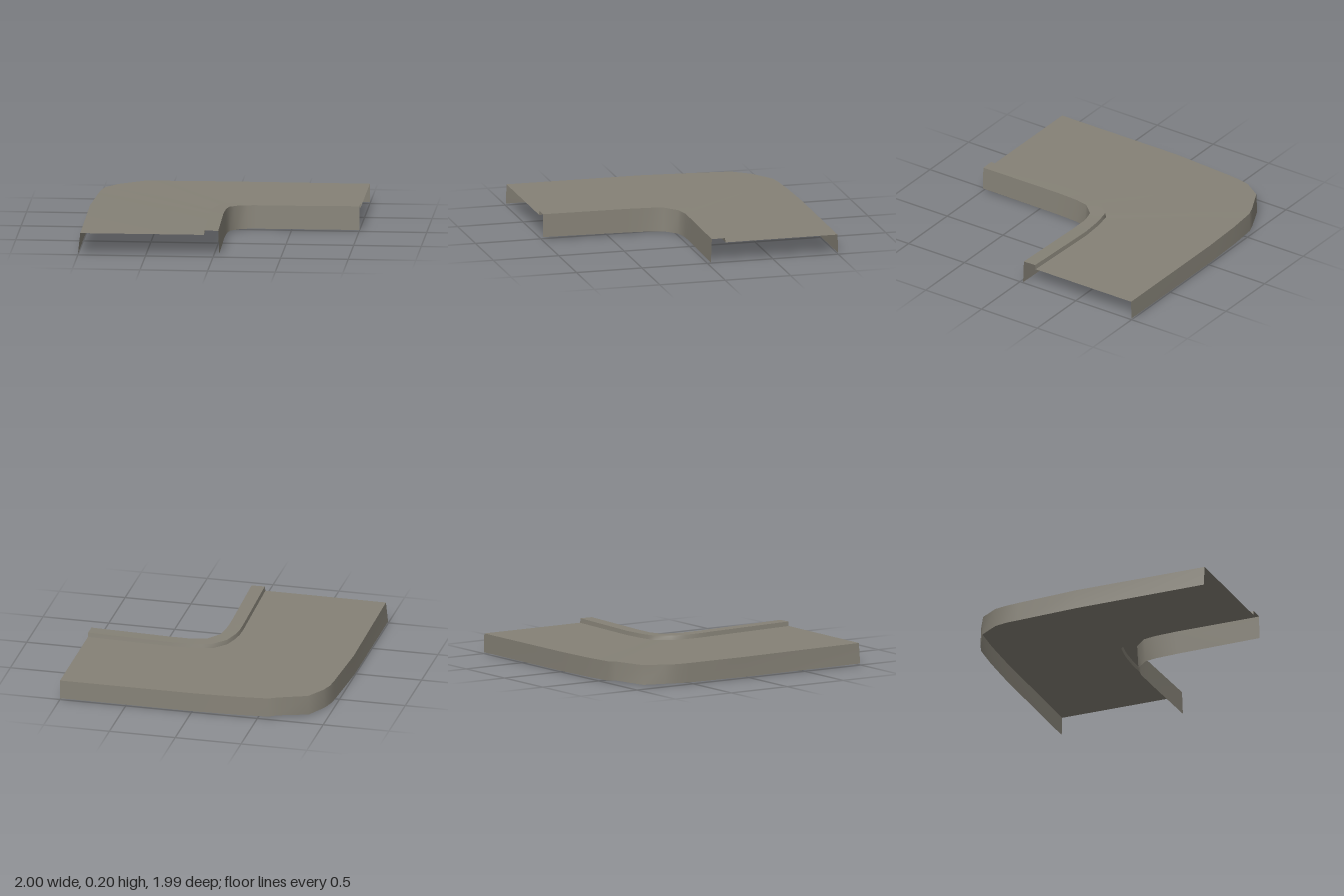
import * as THREE from 'three';

// Stations run from the front end, round the corner, to the +x end: [x, z, topY, bottomY]
const outer = [
  [-0.983, 0.995, 0.163, 0.012], [-0.993, -0.03, 0.157, 0.008], [-0.966, -0.51, 0.152, 0.008],
  [-0.957, -0.61, 0.151, 0.01], [-0.932, -0.705, 0.154, 0.011], [-0.847, -0.84, 0.15, 0.004],
  [-0.64, -0.945, 0.159, 0.018], [-0.575, -0.966, 0.153, 0.01], [-0.35, -0.984, 0.151, 0.009],
  [-0.02, -0.995, 0.15, 0.008], [1, -0.995, 0.15, 0.01],
];
// Foot of the kerb: [x, z, y]
const kerbFoot = [
  [-0.067, 0.995, 0.165], [-0.083, 0.27, 0.157], [-0.082, 0.21, 0.156], [-0.08, 0.16, 0.155],
  [-0.067, 0.08, 0.153], [-0.03, -0.03, 0.15], [0.056, -0.118, 0.147], [0.13, -0.132, 0.146],
  [0.206, -0.144, 0.146], [0.366, -0.155, 0.146], [1, -0.139, 0.15],
];
// Inner edge: [x, z, topY, bottomY]
const inner = [
  [0.038, 0.995, 0.197, 0.025], [0.024, 0.35, 0.189, 0.011], [0.025, 0.25, 0.187, 0.009],
  [0.029, 0.16, 0.186, 0.008], [0.044, 0.07, 0.184, 0.006], [0.08, 0.028, 0.181, 0.004],
  [0.12, -0.018, 0.178, 0.002], [0.17, -0.033, 0.176, 0.001], [0.23, -0.045, 0.175, 0],
  [0.4, -0.045, 0.175, 0.001], [1, -0.034, 0.182, 0.005],
];

// Surface between two rails, facing up when a is the outer rail
function strip(a, b) {
  const n = a.length, index = [];
  for (let i = 0; i < n - 1; i++) {
    index.push(i, n + i, i + 1, n + i, n + i + 1, i + 1);
  }
  const g = new THREE.BufferGeometry();
  g.setAttribute('position', new THREE.Float32BufferAttribute([...a, ...b].flat(), 3));
  g.setIndex(index);
  g.computeVertexNormals();
  return g;
}

export function createModel() {
  const model = new THREE.Group();
  model.name = 'cornerRoad';
  const concrete = new THREE.MeshStandardMaterial({ color: 0x858176, side: THREE.DoubleSide });
  concrete.name = 'grey concrete';

  // Rails, with the skirts leaning out slightly towards their feet
  const last = outer.length - 1;
  const outerTop = outer.map(([x, z, y]) => [x, y, z]);
  const outerFoot = outer.map(([x, z, , y], i) =>
    [i < 6 ? x - (i ? 0.006 : 0.016) : x, y, i > 4 ? z - 0.004 : z]);
  const foot = kerbFoot.map(([x, z, y]) => [x, y, z]);
  const kerbTop = kerbFoot.map(([x, z], i) =>
    [i < last ? x + 0.005 : x, inner[i][2] + 0.001, i ? z + 0.005 : z]);
  const innerTop = inner.map(([x, z, y]) => [x, y, z]);
  const innerFoot = inner.map(([x, z, , y], i) =>
    [i < last ? x + 0.008 : x, y, i ? z + 0.007 : z]);

  const parts = [
    ['outerSkirt', outerFoot, outerTop],
    ['roadSurface', outerTop, foot],
    ['kerbRiser', foot, kerbTop],
    ['kerbTop', kerbTop, innerTop],
    ['innerSkirt', innerTop, innerFoot],
  ];
  for (const [name, a, b] of parts) {
    const mesh = new THREE.Mesh(strip(a, b), concrete);
    mesh.name = name;
    model.add(mesh);
  }
  return model;
}
